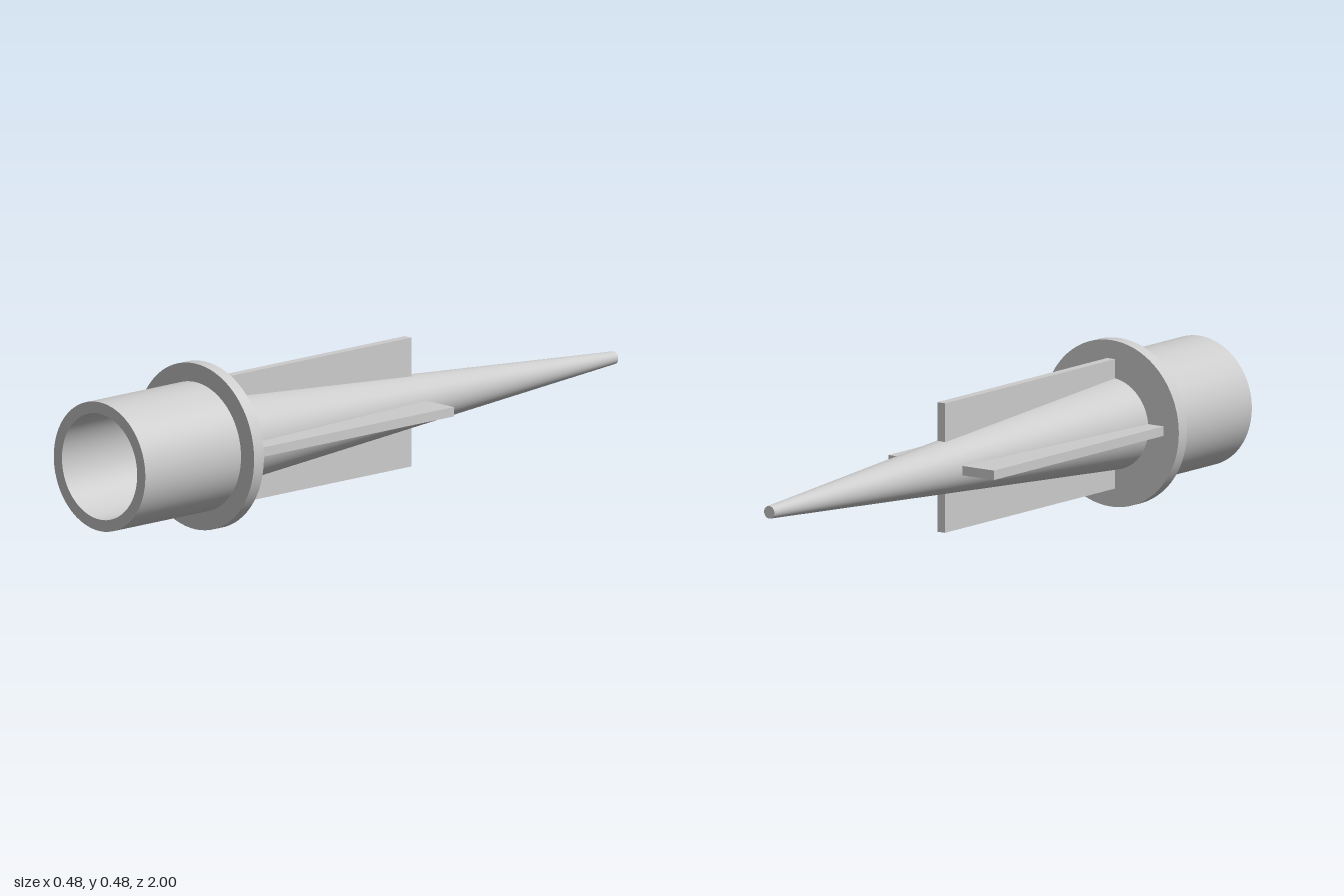
import * as THREE from 'three';
import { toCreasedNormals } from 'three/addons/utils/BufferGeometryUtils.js';

const SEGMENTS = 72;
const AXIS_Y = 0.238; // height of the long axis
const FLANGE_BACK = 0.59, FLANGE_FRONT = 0.628;

export function createModel() {
  const model = new THREE.Group();
  model.name = 'groundSpike';
  const material = new THREE.MeshStandardMaterial({ color: 0xcccccc });

  const add = (name, geometry) => {
    const mesh = new THREE.Mesh(geometry, material);
    mesh.name = name;
    mesh.position.y = AXIS_Y;
    model.add(mesh);
    return mesh;
  };

  // Round solid along z, from the back radius to the front radius
  const roundBar = (backRadius, frontRadius, back, front) =>
    new THREE.CylinderGeometry(frontRadius, backRadius, front - back, SEGMENTS)
      .rotateX(Math.PI / 2)
      .translate(0, 0, (back + front) / 2);

  // Tapered spike with a small blunt tip
  add('spike', roundBar(0.018, 0.131, -1, FLANGE_BACK));

  // Collar between spike and socket; its front face is the socket floor
  add('flange', roundBar(0.238, 0.238, FLANGE_BACK, FLANGE_FRONT));

  // Hollow socket: outer wall, rim, inner wall
  const profile = [[0.185, FLANGE_FRONT], [0.185, 1], [0.152, 1], [0.152, FLANGE_FRONT]]
    .map(([r, z]) => new THREE.Vector2(r, z));
  const socket = new THREE.LatheGeometry(profile, SEGMENTS).rotateX(Math.PI / 2);
  add('socket', toCreasedNormals(socket, Math.PI / 6));

  // Four straight fins, rooted inside the spike
  const inner = 0.05, outer = 0.185, finBack = -0.2;
  const finGeometry = new THREE.BoxGeometry(outer - inner, 0.027, FLANGE_BACK - finBack)
    .translate((inner + outer) / 2, 0, (FLANGE_BACK + finBack) / 2);
  ['leftFin', 'topFin', 'rightFin', 'bottomFin'].forEach((name, i) => {
    add(name, finGeometry).rotation.z = i * Math.PI / 2;
  });

  return model;
}
